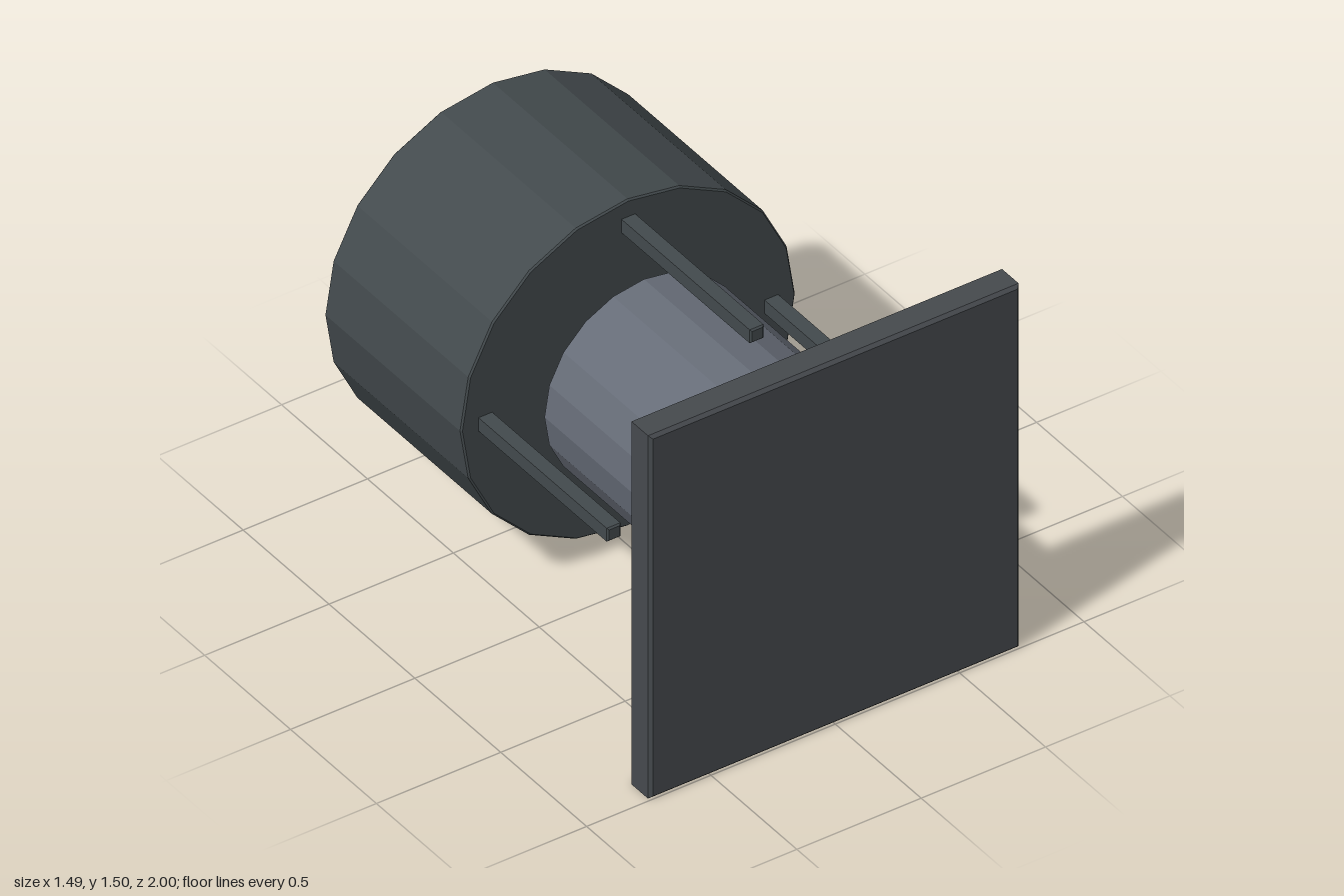
import * as THREE from 'three';

const material = (name, color) => {
  const m = new THREE.MeshStandardMaterial({ color });
  m.name = name;
  return m;
};

export function createModel() {
  const dark = material('dark steel', 0x464a4e);
  const drumGrey = material('drum grey', 0x434a4d);
  const steel = material('light steel', 0x666c77);
  const boltGrey = material('bolt grey', 0x5c6167);
  const group = new THREE.Group();
  const CY = 0.75; // height of the main axis

  const add = (name, geometry, mat, x, y, z) => {
    const mesh = new THREE.Mesh(geometry, mat);
    mesh.name = name;
    mesh.position.set(x, y, z);
    group.add(mesh);
    return mesh;
  };

  // Box with chamfered edges, centred on its origin
  const chamferBox = (w, h, d, b) => {
    const x = w / 2 - b, y = h / 2 - b;
    const shape = new THREE.Shape([[-x, -y], [x, -y], [x, y], [-x, y]].map(p => new THREE.Vector2(...p)));
    const g = new THREE.ExtrudeGeometry(shape, {
      depth: d - 2 * b, bevelEnabled: true, bevelThickness: b, bevelSize: b, bevelSegments: 1,
    });
    return g.translate(0, 0, b - d / 2);
  };

  // Faceted cylinder along z with chamfered rims
  const facetedDrum = (r, length, sides, b) => {
    const h = length / 2;
    const profile = [[0, -h], [r - b, -h], [r, b - h], [r, h - b], [r - b, h], [0, h]];
    const g = new THREE.LatheGeometry(profile.map(p => new THREE.Vector2(...p)), sides).toNonIndexed();
    g.computeVertexNormals();
    return g.rotateX(Math.PI / 2);
  };

  // Square front plate
  add('frontPlate', chamferBox(1.49, 1.495, 0.12, 0.012), dark, 0, 0.7475, 0.94);

  // Inner cylinder behind the plate
  add('innerCylinder', facetedDrum(0.4, 0.995, 20, 0.006), steel, 0, CY + 0.003, 0.3775);

  // Wide rear drum
  add('rearDrum', facetedDrum(0.673, 0.795, 20, 0.006), drumGrey, 0, CY + 0.002, -0.6025);

  // Four guide rods around the inner cylinder
  const rod = chamferBox(0.055, 0.055, 0.77, 0.006);
  for (const [x, y] of [[1, 0], [0, 1], [-1, 0], [0, -1]]) {
    add('guideRod', rod, drumGrey, x * 0.575, CY + 0.003 + y * 0.575, 0.162);
  }

  // Small corner bolts on the back of the plate
  const bolt = facetedDrum(0.021, 0.03, 8, 0.003);
  for (const x of [-0.675, 0.675]) {
    for (const y of [0.075, 1.425]) add('cornerBolt', bolt, boltGrey, x, y, 0.873);
  }

  return group;
}
